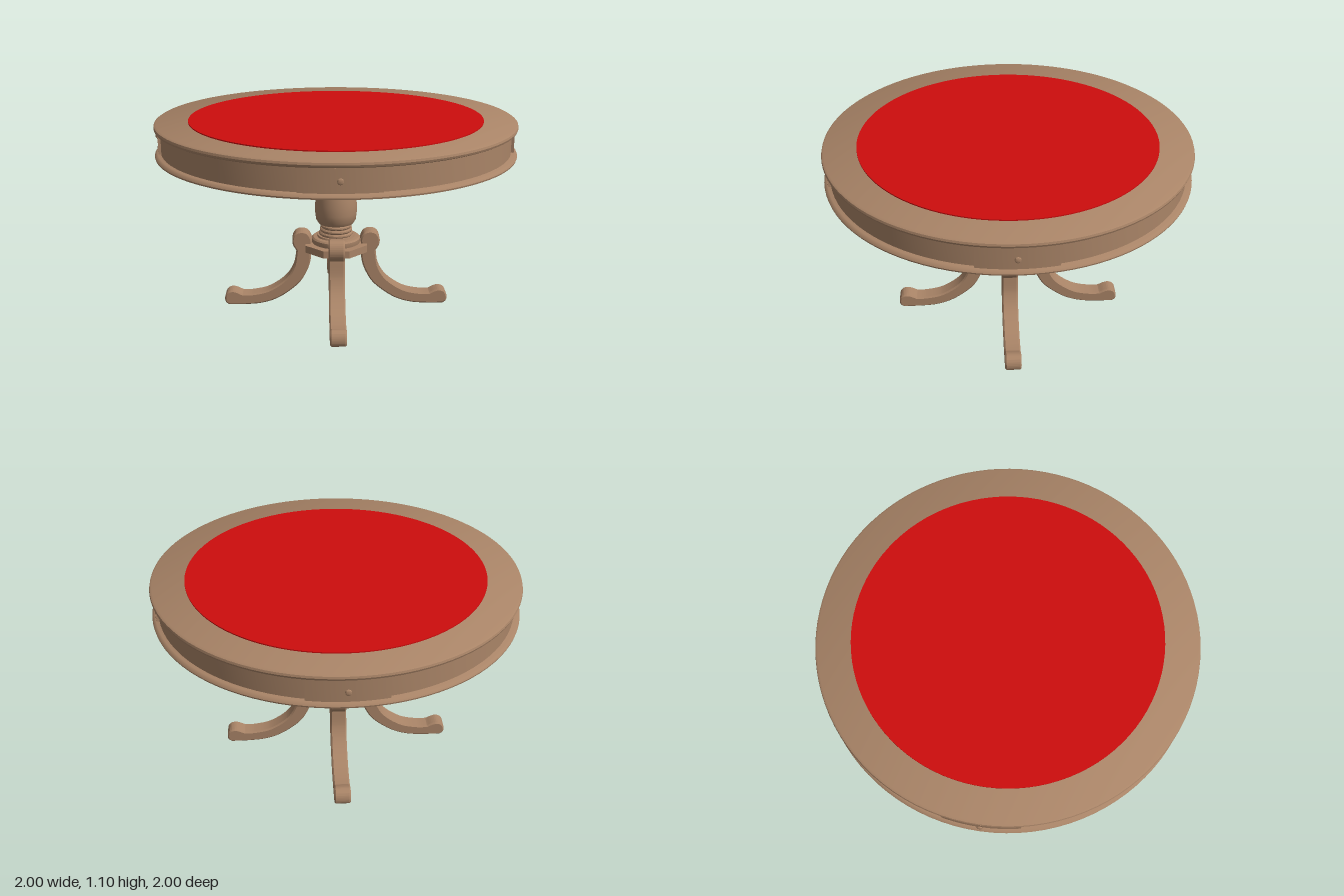
import * as THREE from 'three';
import { toCreasedNormals } from 'three/addons/utils/BufferGeometryUtils.js';

const wood = new THREE.MeshStandardMaterial({ color: 0xa98467 });
wood.name = 'wood';
const felt = new THREE.MeshStandardMaterial({ color: 0xcd0d0d });
felt.name = 'red felt';

function add(parent, name, geometry, material = wood) {
  const mesh = new THREE.Mesh(geometry, material);
  mesh.name = name;
  parent.add(mesh);
  return mesh;
}

// Turned part from [radius, height] pairs, listed bottom to top
function turned(points, segments = 64, start = 0, sweep = Math.PI * 2) {
  const profile = points.map(([r, y]) => new THREE.Vector2(r, y));
  return toCreasedNormals(new THREE.LatheGeometry(profile, segments, start, sweep), 0.6);
}

// Curved leg with a scroll at the top and a rounded foot, running out along +x
function legGeometry() {
  const b = 0.008;
  const s = new THREE.Shape();
  s.moveTo(0.15, 0.36);
  s.splineThru([[0.15, 0.28], [0.175, 0.205], [0.225, 0.13], [0.33, 0.052], [0.43, 0.017], [0.535, 0.008]]
    .map(p => new THREE.Vector2(...p)));
  s.lineTo(0.62, 0.008);
  s.splineThru([[0.638, 0.022], [0.641, 0.05], [0.628, 0.077], [0.602, 0.087], [0.575, 0.081], [0.545, 0.066]]
    .map(p => new THREE.Vector2(...p)));
  s.splineThru([[0.48, 0.067], [0.385, 0.09], [0.29, 0.155], [0.24, 0.235], [0.223, 0.335]]
    .map(p => new THREE.Vector2(...p)));
  s.splineThru([[0.243, 0.37], [0.245, 0.405], [0.228, 0.435], [0.196, 0.445], [0.163, 0.434], [0.145, 0.4], [0.15, 0.36]]
    .map(p => new THREE.Vector2(...p)));
  const g = new THREE.ExtrudeGeometry(s, {
    depth: 0.09 - 2 * b, curveSegments: 32,
    bevelEnabled: true, bevelThickness: b, bevelSize: b, bevelOffset: -b / 2, bevelSegments: 1,
  });
  g.translate(0, 0, -0.045 + b);
  return toCreasedNormals(g, 0.6);
}

export function createModel() {
  const model = new THREE.Group();
  model.name = 'pedestalTable';

  // Table top: rim, apron and lower moulding
  add(model, 'topRim', turned([[0, 1.066], [0.982, 1.066], [0.992, 1.071], [0.996, 1.082],
    [0.993, 1.093], [0.982, 1.1], [0, 1.1]], 96));
  add(model, 'apron', turned([[0.962, 0.94], [0.962, 1.068]], 96));
  add(model, 'lowerMoulding', turned([[0, 0.918], [0.994, 0.918], [0.996, 0.926], [0.99, 0.936],
    [0.979, 0.942], [0, 0.942]], 96));
  add(model, 'feltInlay', turned([[0.81, 1.099], [0.81, 1.106], [0, 1.106]], 96), felt);

  // Turned column
  add(model, 'column', turned([[0.058, 0.93], [0.06, 0.915], [0.078, 0.81], [0.098, 0.705]].reverse()));
  add(model, 'columnVase', turned([[0.08, 0.486], [0.1, 0.492], [0.114, 0.515], [0.119, 0.555],
    [0.119, 0.605], [0.111, 0.66], [0.101, 0.705], [0.09, 0.708]]));
  for (const [r, y] of [[0.088, 0.475], [0.093, 0.453], [0.097, 0.431]]) {
    add(model, 'columnRing', turned([[0.07, y - 0.011], [r - 0.006, y - 0.011], [r, y - 0.004],
      [r, y + 0.004], [r - 0.006, y + 0.011], [0.07, y + 0.011]], 48));
  }
  add(model, 'columnBase', turned([[0.135, 0.37], [0.138, 0.38], [0.138, 0.402], [0.13, 0.41],
    [0.108, 0.412], [0.105, 0.422], [0.06, 0.422]]));

  // Octagonal hub that holds the legs
  const hub = add(model, 'hub', toCreasedNormals(
    new THREE.CylinderGeometry(0.19, 0.19, 0.042, 8, 1, false, Math.PI / 8), 0.3));
  hub.position.y = 0.354;

  // Four legs, and four curved drawer fronts with knobs
  const leg = legGeometry();
  const half = Math.asin(0.2 / 0.978);
  const drawer = turned([[0.95, 0.943], [0.978, 0.943], [0.978, 1.065], [0.95, 1.065]],
    16, -half, half * 2);
  const knob = turned([[0, 0], [0.007, 0], [0.007, 0.008], [0.016, 0.014], [0.015, 0.019],
    [0.009, 0.023], [0, 0.024]], 20);
  for (let i = 0; i < 4; i++) {
    const side = new THREE.Group();
    side.name = 'side' + (i + 1);
    side.rotation.y = i * Math.PI / 2;
    model.add(side);
    add(side, 'leg', leg);
    add(side, 'drawerFront', drawer);
    for (const s of [-1, 1]) {
      const end = add(side, 'drawerEnd', new THREE.BoxGeometry(0.004, 0.122, 0.024));
      end.position.set(Math.sin(half) * 0.965 * s, 1.004, Math.cos(half) * 0.965);
      end.rotation.y = half * s;
    }
    const k = add(side, 'drawerKnob', knob);
    k.position.set(0, 1.004, 0.976);
    k.rotation.x = Math.PI / 2;
  }
  return model;
}
